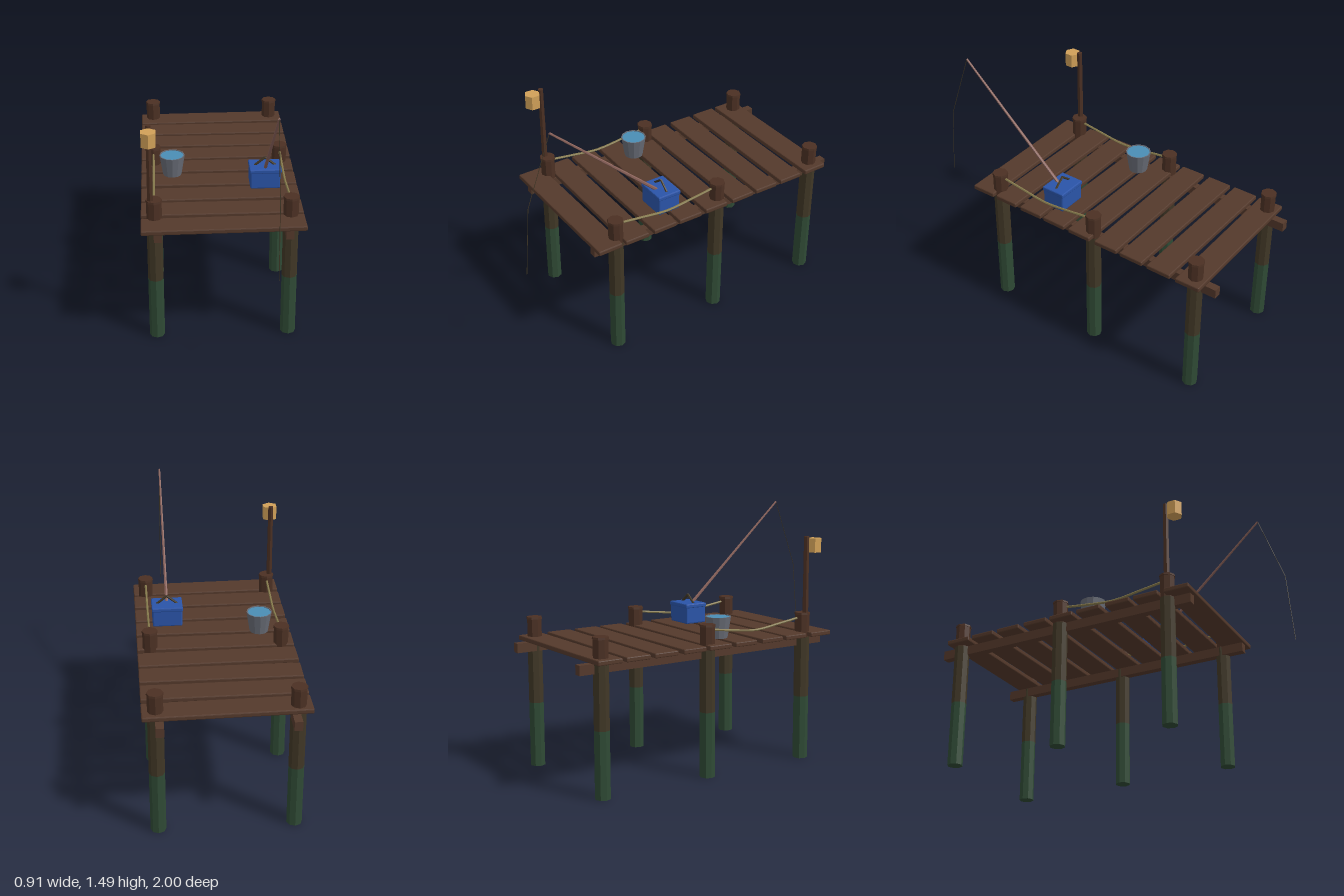
import * as THREE from 'three';
import { RoundedBoxGeometry } from 'three/addons/geometries/RoundedBoxGeometry.js';

export function createModel() {
  const model = new THREE.Group();
  model.name = 'fishingDock';

  const mat = (name, color) => {
    const m = new THREE.MeshStandardMaterial({ color });
    m.name = name;
    m.flatShading = true;
    return m;
  };
  const plankWood = mat('plank brown', 0x54392b);
  const postWood = mat('post brown', 0x4b3023);
  const dampWood = mat('damp wood', 0x403726);
  const algae = mat('algae green', 0x2f4a35);
  const rope = mat('rope tan', 0x85794c);
  const lampGlow = mat('lamp amber', 0xd0a058);
  const blue = mat('box blue', 0x2a54a8);
  const steel = mat('bucket grey', 0x686c76);
  const water = mat('water blue', 0x4a8db5);
  const rodWood = mat('rod wood', 0x8a625a);
  steel.side = THREE.DoubleSide;

  const add = (name, geometry, material, x = 0, y = 0, z = 0, parent = model) => {
    const mesh = new THREE.Mesh(geometry, material);
    mesh.name = name;
    mesh.position.set(x, y, z);
    parent.add(mesh);
    return mesh;
  };

  // Straight, optionally tapered bar between two points
  const bar = (name, a, b, r0, r1, sides, material) => {
    const from = new THREE.Vector3(...a), to = new THREE.Vector3(...b);
    const dir = to.clone().sub(from);
    const mesh = add(name, new THREE.CylinderGeometry(r1, r0, dir.length(), sides), material);
    mesh.position.copy(from).add(to).multiplyScalar(0.5);
    mesh.quaternion.setFromUnitVectors(new THREE.Vector3(0, 1, 0), dir.normalize());
    return mesh;
  };

  // Deck planks, each slightly askew
  const yaws = [0.011, -0.004, -0.008, 0.007, -0.009, -0.012, 0.006, -0.005, 0.01];
  yaws.forEach((yaw, i) => {
    const plank = add('plank', new RoundedBoxGeometry(0.91, 0.028, 0.15, 1, 0.006),
      plankWood, 0, 0.757, -0.857 + i * 0.1795);
    plank.rotation.y = yaw;
  });

  for (const side of [-1, 1]) {
    // Long beam under the planks
    add('beam', new THREE.BoxGeometry(0.045, 0.055, 1.64), plankWood, side * 0.362, 0.716, -0.18);

    // Piles: algae below, damp wood, then dry top and cap
    for (const [z, top] of [[0.5, 0.884], [-0.185, 0.88], [-0.87, 0.884]]) {
      const pile = new THREE.Group();
      pile.name = 'pile';
      pile.position.set(side * 0.38, 0, z);
      model.add(pile);
      const section = (name, y0, y1, r0, r1, m) =>
        add(name, new THREE.CylinderGeometry(r1, r0, y1 - y0, 8), m, 0, (y0 + y1) / 2, 0, pile);
      section('pileFoot', 0, 0.38, 0.044, 0.044, algae);
      section('pileMiddle', 0.38, 0.74, 0.044, 0.044, dampWood);
      section('pileTop', 0.74, top - 0.012, 0.043, 0.043, postWood);
      section('pileCap', top - 0.012, top, 0.047, 0.045, postWood);
    }

    // Sagging rope rail
    const path = new THREE.CatmullRomCurve3([
      [0.47, 0.853], [0.33, 0.833], [0.16, 0.812], [0, 0.826], [-0.15, 0.845],
    ].map(([z, y]) => new THREE.Vector3(side * 0.38, y, z)));
    add('ropeRail', new THREE.TubeGeometry(path, 12, 0.007, 6), rope);
  }

  // Lamp post and hexagonal lantern
  bar('lampPost', [-0.4, 0.87, 0.507], [-0.4, 1.332, 0.507], 0.018, 0.016, 6, postWood);
  add('lantern', new THREE.CylinderGeometry(0.046, 0.046, 0.082, 6), lampGlow, -0.4, 1.278, 0.562);

  // Bucket with water near the brim
  const bucketProfile = [[0, 0], [0.055, 0], [0.075, 0.124], [0.069, 0.124], [0.068, 0.11]]
    .map(([x, y]) => new THREE.Vector2(x, y));
  add('bucket', new THREE.LatheGeometry(bucketProfile, 12), steel, -0.27, 0.772, -0.033);
  add('bucketWater', new THREE.CylinderGeometry(0.069, 0.069, 0.006, 12), water, -0.27, 0.889, -0.033);

  // Tackle box with lid and folded handle
  add('tackleBox', new RoundedBoxGeometry(0.176, 0.122, 0.14, 1, 0.008), blue, 0.265, 0.834, 0.125);
  add('tackleLid', new RoundedBoxGeometry(0.184, 0.026, 0.147, 1, 0.006), blue, 0.265, 0.883, 0.125);
  for (const side of [-1, 1]) {
    bar('boxHandle', [0.265 + side * 0.06, 0.893, 0.125], [0.265, 0.942, 0.125], 0.007, 0.007, 6, dampWood);
  }

  // Fishing rod and line
  const tip = [0.265, 1.485, 0.81], bend = [0.265, 1.07, 0.962];
  bar('fishingRod', [0.265, 0.875, 0.14], tip, 0.01, 0.006, 6, rodWood);
  bar('fishingLine', tip, bend, 0.002, 0.002, 4, dampWood);
  bar('fishingLine', bend, [0.265, 0.65, 0.998], 0.002, 0.002, 4, dampWood);

  return model;
}
